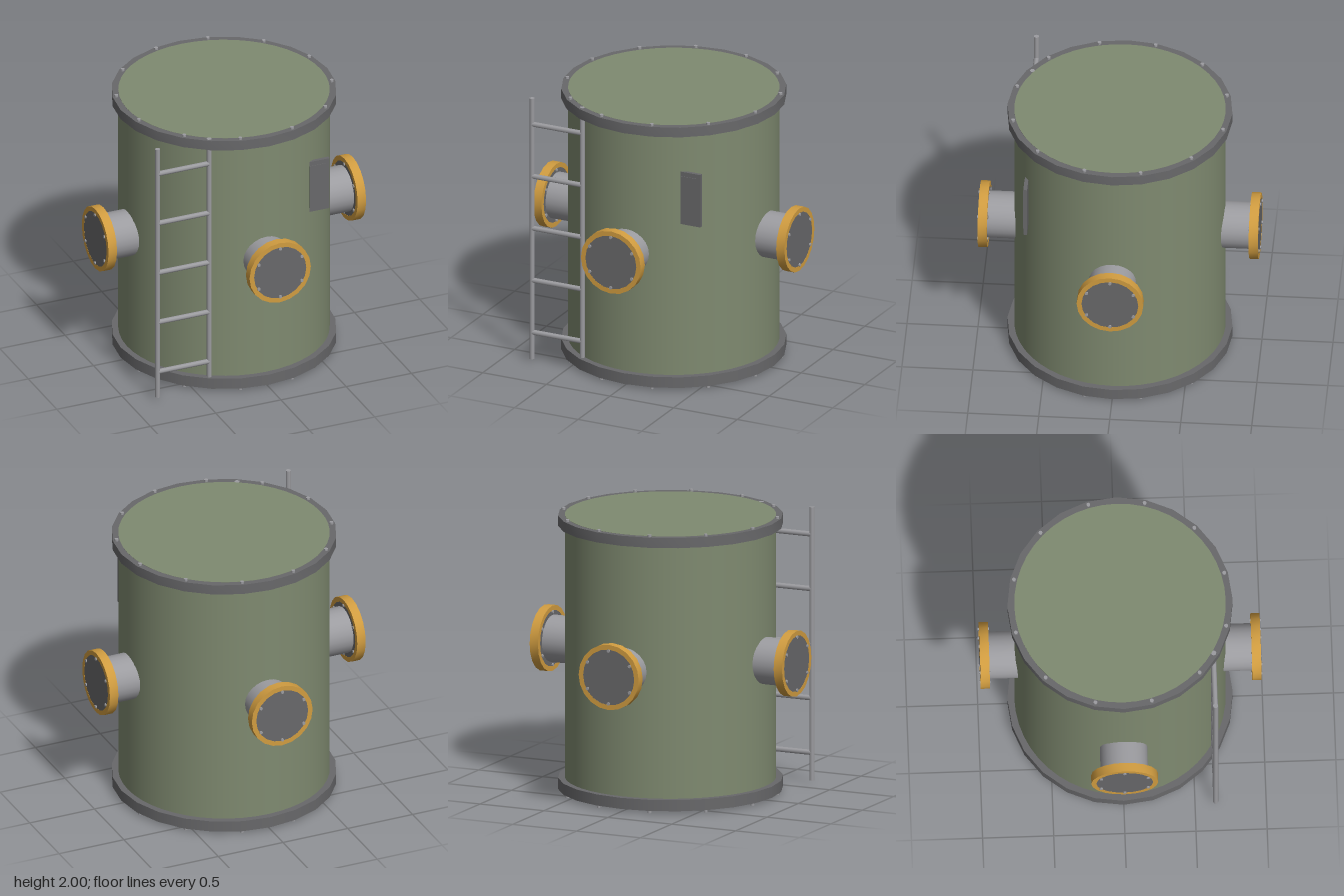
import * as THREE from 'three';
import { toCreasedNormals } from 'three/addons/utils/BufferGeometryUtils.js';

const material = (name, color) => {
  const m = new THREE.MeshStandardMaterial({ color });
  m.name = name;
  return m;
};

export function createModel() {
  const green = material('tank green', 0x7f8a70);
  const darkGrey = material('dark grey', 0x68686a);
  const lightGrey = material('light grey', 0x9c9ca0);
  const ochre = material('ochre', 0xd09c40);

  const model = new THREE.Group();
  model.name = 'storageTank';

  function add(parent, name, geometry, mat, x = 0, y = 0, z = 0) {
    const mesh = new THREE.Mesh(geometry, mat);
    mesh.name = name;
    mesh.position.set(x, y, z);
    parent.add(mesh);
    return mesh;
  }

  // Upright cylinder between two heights
  function drum(parent, name, r, y0, y1, sides, mat, x = 0, z = 0) {
    const g = new THREE.CylinderGeometry(r, r, y1 - y0, sides);
    return add(parent, name, g, mat, x, (y0 + y1) / 2, z);
  }

  // Flat ring with square edges
  function ring(parent, name, inner, outer, y0, y1, sides, mat) {
    const profile = [[outer, y0], [outer, y1], [inner, y1], [inner, y0], [outer, y0]];
    const g = new THREE.LatheGeometry(profile.map(p => new THREE.Vector2(...p)), sides);
    return add(parent, name, toCreasedNormals(g, 0.6), mat);
  }

  // Circle of bolts around the y axis
  function bolts(parent, count, start, radius, y0, y1, size) {
    for (let i = 0; i < count; i++) {
      const a = start + (i / count) * Math.PI * 2;
      drum(parent, 'bolt', size, y0, y1, 8, lightGrey, Math.sin(a) * radius, Math.cos(a) * radius);
    }
  }

  // Tank shell with its lid and base flanges
  const tank = new THREE.Group();
  tank.name = 'tank';
  model.add(tank);
  drum(tank, 'shell', 0.743, 0.03, 1.986, 48, green);
  ring(tank, 'topFlange', 0.735, 0.792, 1.912, 1.985, 24, darkGrey);
  drum(tank, 'baseFlange', 0.792, 0.02, 0.1, 24, darkGrey);
  bolts(tank, 12, Math.PI / 12, 0.765, 1.98, 2, 0.014);
  bolts(tank, 12, Math.PI / 12, 0.765, 0, 0.025, 0.014);

  // Four capped nozzles around the shell
  for (let i = 0; i < 4; i++) {
    const turn = new THREE.Group();
    turn.name = 'nozzle';
    turn.position.y = 1.004;
    turn.rotation.y = (i * Math.PI) / 2;
    const nozzle = new THREE.Group();
    nozzle.name = 'nozzleParts';
    nozzle.rotation.x = Math.PI / 2;
    turn.add(nozzle);
    model.add(turn);
    drum(nozzle, 'pipe', 0.167, 0.68, 0.93, 24, lightGrey);
    ring(nozzle, 'collar', 0.2, 0.235, 0.922, 0.987, 20, ochre);
    drum(nozzle, 'blindCover', 0.203, 0.924, 0.986, 20, darkGrey);
    bolts(nozzle, 6, 0, 0.19, 0.916, 0.995, 0.012);
  }

  // Ladder at the front right
  const ladder = new THREE.Group();
  ladder.name = 'ladder';
  ladder.position.z = 0.645;
  model.add(ladder);
  for (const x of [-0.79, -0.395]) {
    drum(ladder, 'rail', 0.0185, 0.02, 1.986, 8, lightGrey, x);
  }
  for (let i = 0; i < 5; i++) {
    const g = new THREE.CylinderGeometry(0.019, 0.019, 0.395, 8);
    g.rotateZ(Math.PI / 2);
    add(ladder, 'rung', g, lightGrey, -0.5925, 0.22 + i * 0.3925);
  }

  // Plate box let into the shell
  const panel = new THREE.Group();
  panel.name = 'panel';
  model.add(panel);
  add(panel, 'panelBack', new THREE.BoxGeometry(0.165, 0.395, 0.026), darkGrey, 0.4475, 1.4375, 0.629);
  add(panel, 'panelDoor', new THREE.BoxGeometry(0.122, 0.33, 0.006), darkGrey, 0.437, 1.4375, 0.643);

  return model;
}
